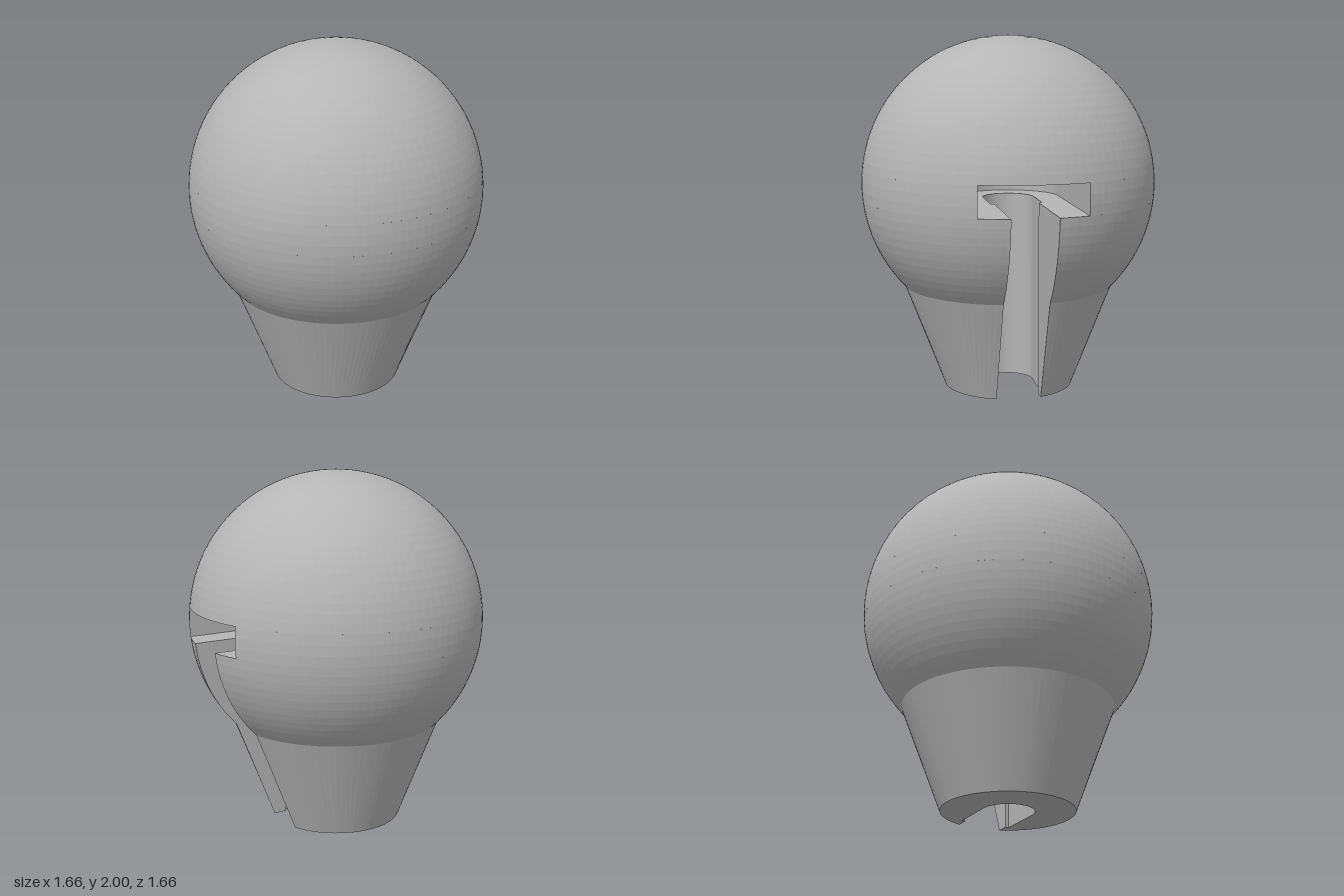
import * as THREE from 'three';

const R = 0.83, CY = 1.17;            // ball radius and centre height
const NECK = 0.59, BASE_R = 0.367;    // height where cone meets ball, foot radius
const SHELF = 1.085, CEIL = 1.255;    // bottom and top of the wide slot
const STEM_W = 0.125, HEAD_W = 0.29;  // half widths of the slot openings
const BORE_R = 0.145, LIP_X = 0.27;   // wider bore behind the narrow lip

const ballR = y => Math.sqrt(Math.max(0, R * R - (y - CY) ** 2));
const polar = (r, a) => [r * Math.cos(a), r * Math.sin(a)];
const arc = (r, a, b, n) => Array.from({ length: n + 1 }, (_, i) => polar(r, a + (b - a) * i / n));

// Heights on the ball at equal angles
function ballRows(y0, y1, n) {
  const s = y => Math.asin(THREE.MathUtils.clamp((y - CY) / R, -1, 1));
  return Array.from({ length: n + 1 }, (_, i) => {
    const y = CY + R * Math.sin(s(y0) + (s(y1) - s(y0)) * i / n);
    return { y, r: y1 === 2 && i === n ? 0 : ballR(y) };
  });
}

// Outer ring, left open by the slot of half width w on +x
function skinRing(r, w) {
  const a = r > 0 ? Math.asin(w / r) : 0;
  return arc(r, a, Math.PI * 2 - a, 100);
}

// Slot outlines, from the -z edge round the closed end to the +z edge
const edgeX = (r, w) => Math.sqrt(r * r - w * w);
const stemPath = r => [
  [edgeX(r, STEM_W), -STEM_W], [LIP_X, -STEM_W], [LIP_X, -BORE_R],
  ...arc(BORE_R, Math.PI * 1.5, Math.PI * 0.5, 32),
  [LIP_X, BORE_R], [LIP_X, STEM_W], [edgeX(r, STEM_W), STEM_W],
];
const headPath = r => [
  [edgeX(r, HEAD_W), -HEAD_W],
  ...arc(HEAD_W, Math.PI * 1.5, Math.PI * 0.5, 48),
  [edgeX(r, HEAD_W), HEAD_W],
];

// Surface through cross-sections stacked upward
function loft(rows, section) {
  const pos = [], idx = [];
  const rings = rows.map(({ y, r }) => section(r).map(([x, z]) => [x, y, z]));
  const n = rings[0].length;
  rings.forEach(ring => ring.forEach(p => pos.push(...p)));
  for (let i = 0; i < rings.length - 1; i++) {
    for (let j = 0; j < n - 1; j++) {
      const a = i * n + j, b = a + 1, c = a + n, d = c + 1;
      idx.push(a, c, b, b, c, d);
    }
  }
  const g = new THREE.BufferGeometry();
  g.setAttribute('position', new THREE.Float32BufferAttribute(pos, 3));
  g.setIndex(idx);
  const flat = g.toNonIndexed();
  flat.computeVertexNormals();
  return flat;
}

// Horizontal face filling an outline
function cap(points, y, up) {
  const shape = new THREE.Shape(points.map(p => new THREE.Vector2(...p)));
  const g = new THREE.ShapeGeometry(shape);
  g.rotateX(up ? -Math.PI / 2 : Math.PI / 2);
  g.translate(0, y, 0);
  return g;
}

export function createModel() {
  const group = new THREE.Group();
  group.name = 'slottedBallKnob';
  const grey = new THREE.MeshStandardMaterial({ color: 0xb5b5b5, flatShading: true });
  grey.name = 'grey';
  const add = (name, geometry) => {
    const mesh = new THREE.Mesh(geometry, grey);
    mesh.name = name;
    group.add(mesh);
  };

  const cone = [{ y: 0, r: BASE_R }, { y: NECK, r: ballR(NECK) }];
  const lower = ballRows(NECK, SHELF, 11);
  const middle = ballRows(SHELF, CEIL, 3);
  const upper = ballRows(CEIL, 2, 24);

  // Outer skin
  add('neck', loft(cone, r => skinRing(r, STEM_W)));
  add('ballLower', loft(lower, r => skinRing(r, STEM_W)));
  add('ballMiddle', loft(middle, r => skinRing(r, HEAD_W)));
  add('ballUpper', loft(upper, r => skinRing(r, 0)));

  // Slot walls
  add('stemSlotWall', loft([...cone, ...lower.slice(1)], stemPath));
  add('headSlotWall', loft(middle, headPath));

  // Foot with the bore opening
  add('foot', cap([...skinRing(BASE_R, STEM_W), ...stemPath(BASE_R).slice(1, -1)], 0, false));

  // Roof of the wide slot
  const rc = ballR(CEIL), ac = Math.asin(HEAD_W / rc);
  add('slotCeiling', cap([...headPath(rc), ...arc(rc, ac, -ac, 12).slice(1, -1)], CEIL, false));

  // Ledge between wide and narrow slot
  const rs = ballR(SHELF), ah = Math.asin(HEAD_W / rs), as = Math.asin(STEM_W / rs);
  add('slotShelf', cap([
    ...headPath(rs), ...arc(rs, ah, as, 4).slice(1, -1),
    ...stemPath(rs).reverse(), ...arc(rs, -as, -ah, 4).slice(1, -1),
  ], SHELF, true));

  return group;
}
